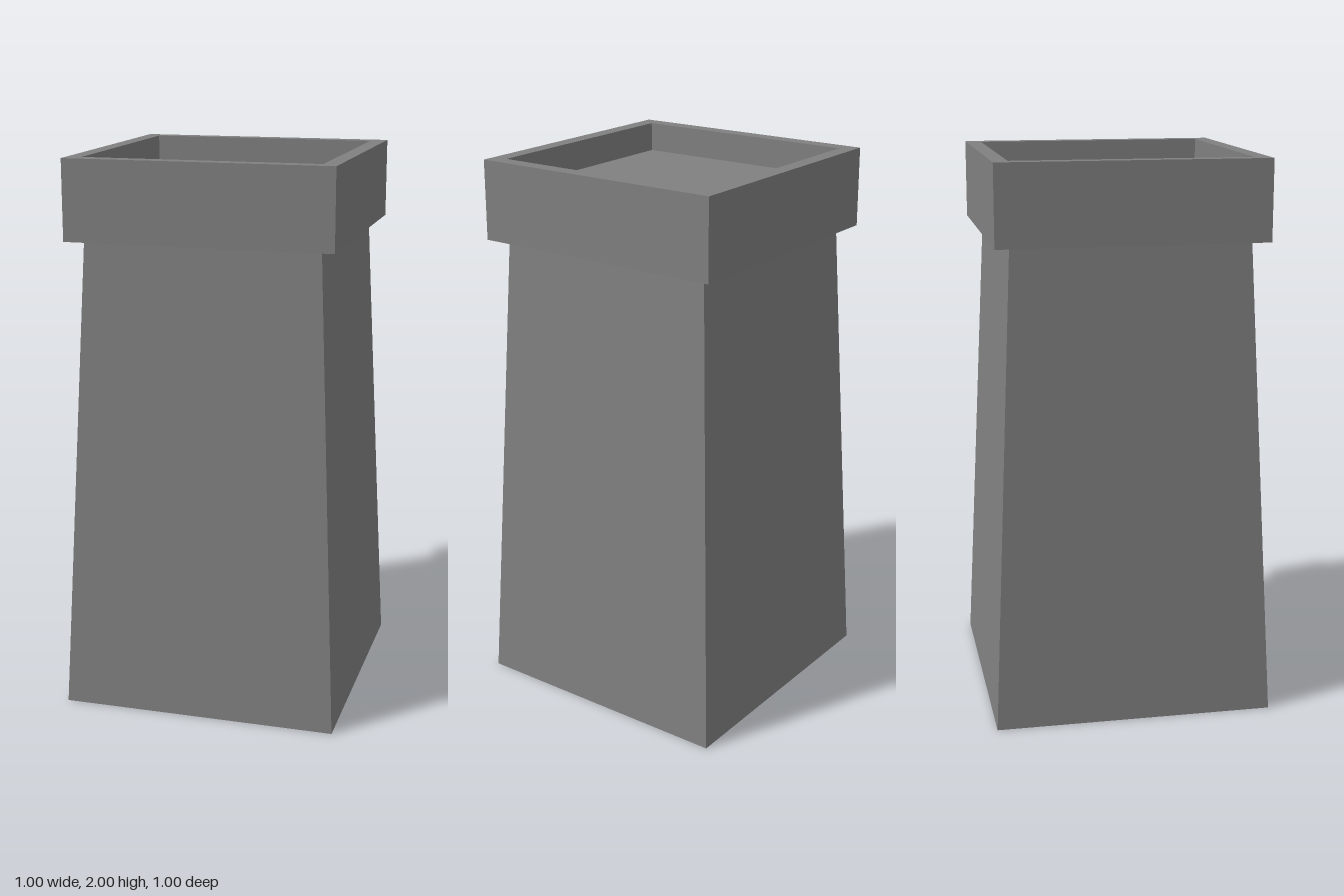
import * as THREE from 'three';

const stone = new THREE.MeshStandardMaterial({ color: 0x808080, flatShading: true, side: THREE.DoubleSide });
stone.name = 'grey stone';

// Square solid from a profile of [half width, height] pairs
function squareLathe(name, profile) {
  const points = profile.map(([half, y]) => new THREE.Vector2(half * Math.SQRT2, y));
  const geometry = new THREE.LatheGeometry(points, 4, Math.PI / 4).toNonIndexed();
  geometry.computeVertexNormals();
  const mesh = new THREE.Mesh(geometry, stone);
  mesh.name = name;
  return mesh;
}

export function createModel() {
  const group = new THREE.Group();
  group.name = 'chimney';

  // Tapered hollow shaft, open at the bottom
  group.add(squareLathe('shaft', [[0.5, 0], [0.42, 1.715]]));

  // Overhanging collar: underside, outer wall, rim and inner wall
  group.add(squareLathe('collar', [[0.42, 1.715], [0.475, 1.715], [0.475, 2], [0.42, 2], [0.42, 1.895]]));

  // Sunken top inside the collar
  const top = new THREE.Mesh(new THREE.PlaneGeometry(0.84, 0.84), stone);
  top.name = 'sunkenTop';
  top.rotation.x = -Math.PI / 2;
  top.position.y = 1.895;
  group.add(top);

  return group;
}
